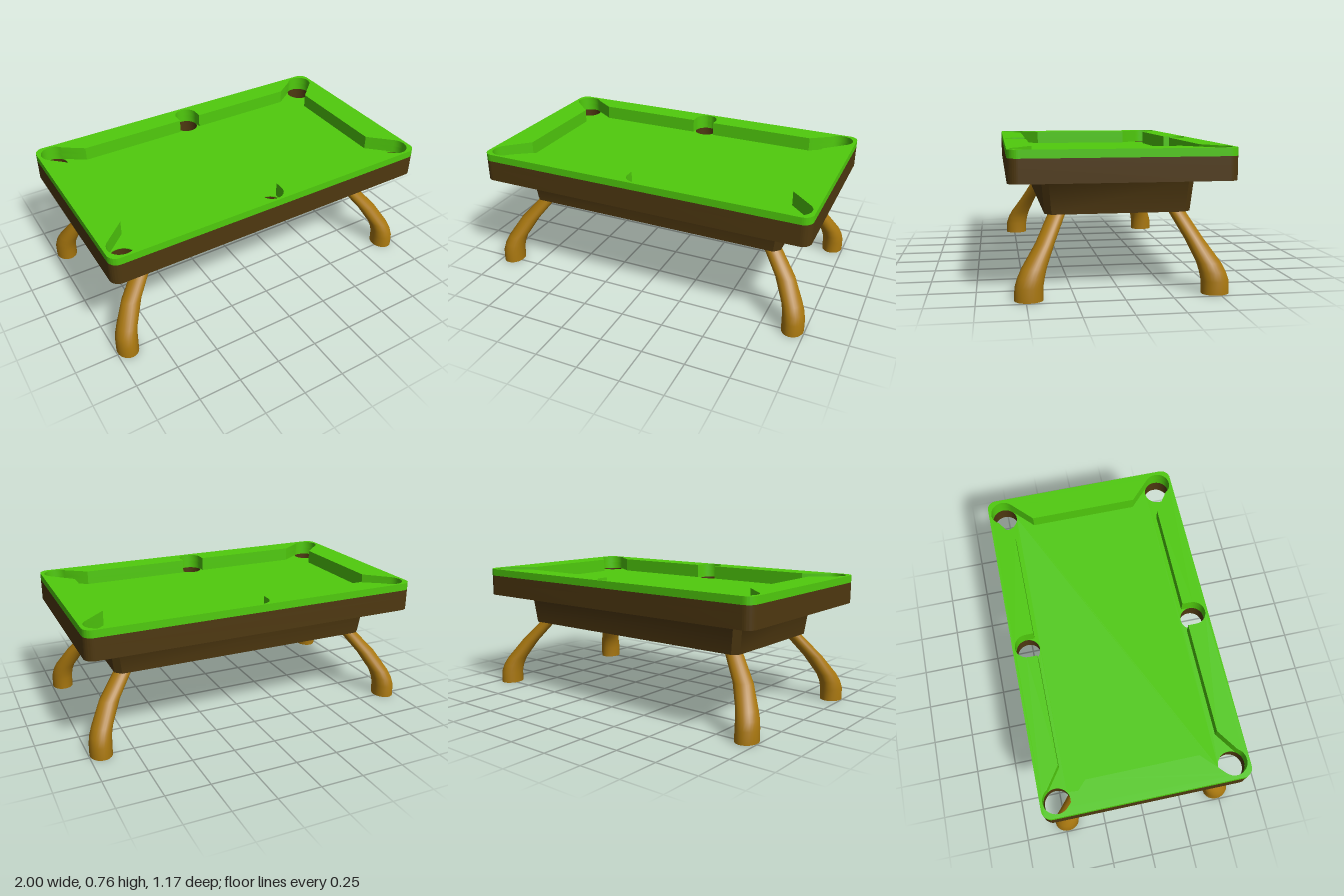
import * as THREE from 'three';
import { toCreasedNormals } from 'three/addons/utils/BufferGeometryUtils.js';

const green = new THREE.MeshStandardMaterial({ color: 0x50cb0d });
const darkWood = new THREE.MeshStandardMaterial({ color: 0x4e3810 });
const lightWood = new THREE.MeshStandardMaterial({ color: 0xa8770f });

const HALF_X = 1, HALF_Z = 0.585, INSET = 0.012;
const CORNER = { x: 0.905, z: 0.495, r: 0.075 };
const SIDE = { x: 0, z: 0.5, r: 0.07 };

function addMesh(group, name, geometry, material) {
  const mesh = new THREE.Mesh(toCreasedNormals(geometry, 0.6), material);
  mesh.name = name;
  group.add(mesh);
  return mesh;
}

// Rounded rectangle, optionally pulled in from the table edge
function outline(inset = 0, Target = THREE.Shape) {
  const x = HALF_X - inset, z = HALF_Z - inset, r = 0.055 - inset;
  const s = new Target();
  s.absarc(x - r, z - r, r, 0, Math.PI / 2);
  s.absarc(-x + r, z - r, r, Math.PI / 2, Math.PI);
  s.absarc(-x + r, -z + r, r, Math.PI, Math.PI * 1.5);
  s.absarc(x - r, -z + r, r, Math.PI * 1.5, Math.PI * 2);
  s.closePath();
  return s;
}

// Six round pocket openings
function pocketHoles() {
  const holes = [];
  for (const sz of [-1, 1]) {
    for (const [x, p] of [[-CORNER.x, CORNER], [SIDE.x, SIDE], [CORNER.x, CORNER]]) {
      holes.push(new THREE.Path().absarc(x, sz * p.z, p.r, 0, Math.PI * 2));
    }
  }
  return holes;
}

// Playing area edge: one quadrant of cushion noses and pocket arcs, mirrored
function cushionHole() {
  const q = [[0.83, 0.32]];
  const arc = (p, from, to, n) => {
    for (let i = 0; i <= n; i++) {
      const a = from + (to - from) * i / n;
      q.push([p.x + p.r * Math.cos(a), p.z + p.r * Math.sin(a)]);
    }
  };
  arc(CORNER, -0.83, 2.59, 16);
  q.push([0.72, 0.45], [0.07, 0.45]);
  arc(SIDE, 0, 1.45, 8);
  const back = [...q].reverse();
  const points = [
    ...q,
    ...back.map(([x, z]) => [-x, z]),
    ...q.map(([x, z]) => [-x, -z]),
    ...back.map(([x, z]) => [x, -z]),
  ];
  return new THREE.Path(points.map(([x, z]) => new THREE.Vector2(x, z)));
}

// Flat layer between two heights
function layer(shape, holes, y0, y1) {
  shape.holes.push(...holes);
  const g = new THREE.ExtrudeGeometry(shape, { depth: y1 - y0, bevelEnabled: false, curveSegments: 16 });
  return g.rotateX(-Math.PI / 2).translate(0, y0, 0);
}

// Hollow apron lofted through chamfered rectangles: [half x, half z, chamfer, y]
function apronGeometry() {
  const levels = [
    [0.69, 0.28, 0.004, 0.6],
    [0.69, 0.28, 0.004, 0.41],
    [0.797, 0.39, 0.035, 0.41],
    [0.817, 0.405, 0.035, 0.575],
    [0.835, 0.42, 0.035, 0.597],
  ];
  const pos = [], index = [];
  for (const [x, z, c, y] of levels) {
    for (const [px, pz] of [[x, -z + c], [x, z - c], [x - c, z], [-x + c, z],
      [-x, z - c], [-x, -z + c], [-x + c, -z], [x - c, -z]]) pos.push(px, y, pz);
  }
  for (let k = 0; k < levels.length - 1; k++) {
    for (let i = 0; i < 8; i++) {
      const j = (i + 1) % 8, a = k * 8 + i, b = k * 8 + j;
      index.push(a, a + 8, b, b, a + 8, b + 8);
    }
  }
  const g = new THREE.BufferGeometry();
  g.setAttribute('position', new THREE.Float32BufferAttribute(pos, 3));
  g.setIndex(index);
  return g;
}

// Splayed leg: a cylinder whose rings follow [y, x, z, radius x, radius z]
function legGeometry(sx, sz) {
  const rings = [
    [0, 0.932, 0.485, 0.063, 0.074],
    [0.07, 0.931, 0.483, 0.063, 0.073],
    [0.115, 0.924, 0.472, 0.061, 0.07],
    [0.16, 0.908, 0.455, 0.058, 0.065],
    [0.275, 0.843, 0.393, 0.057, 0.05],
    [0.415, 0.731, 0.32, 0.05, 0.046],
  ];
  const n = rings.length - 1;
  const g = new THREE.CylinderGeometry(1, 1, 1, 24, n);
  const p = g.attributes.position;
  for (let i = 0; i < p.count; i++) {
    const [y, x, z, rx, rz] = rings[Math.round((p.getY(i) + 0.5) * n)];
    p.setXYZ(i, sx * x + p.getX(i) * rx, y, sz * z + p.getZ(i) * rz);
  }
  return g;
}

export function createModel() {
  const table = new THREE.Group();
  table.name = 'poolTable';

  // Wooden body with drilled pockets and a raised outer frame
  addMesh(table, 'slab', layer(outline(), pocketHoles(), 0.595, 0.675), darkWood);
  addMesh(table, 'frame', layer(outline(), [outline(INSET, THREE.Path)], 0.675, 0.72), darkWood);
  addMesh(table, 'apron', apronGeometry(), darkWood);

  // Cloth bed and cushions
  addMesh(table, 'bed', layer(outline(INSET), pocketHoles(), 0.675, 0.68), green);
  addMesh(table, 'cushionBase', layer(outline(INSET), [cushionHole()], 0.68, 0.72), green);
  addMesh(table, 'cushionTop', layer(outline(), [cushionHole()], 0.72, 0.763), green);

  // Legs
  for (const [sx, side] of [[1, 'Left'], [-1, 'Right']]) {
    for (const [sz, end] of [[1, 'front'], [-1, 'back']]) {
      addMesh(table, `${end}${side}Leg`, legGeometry(sx, sz), lightWood);
    }
  }
  return table;
}
